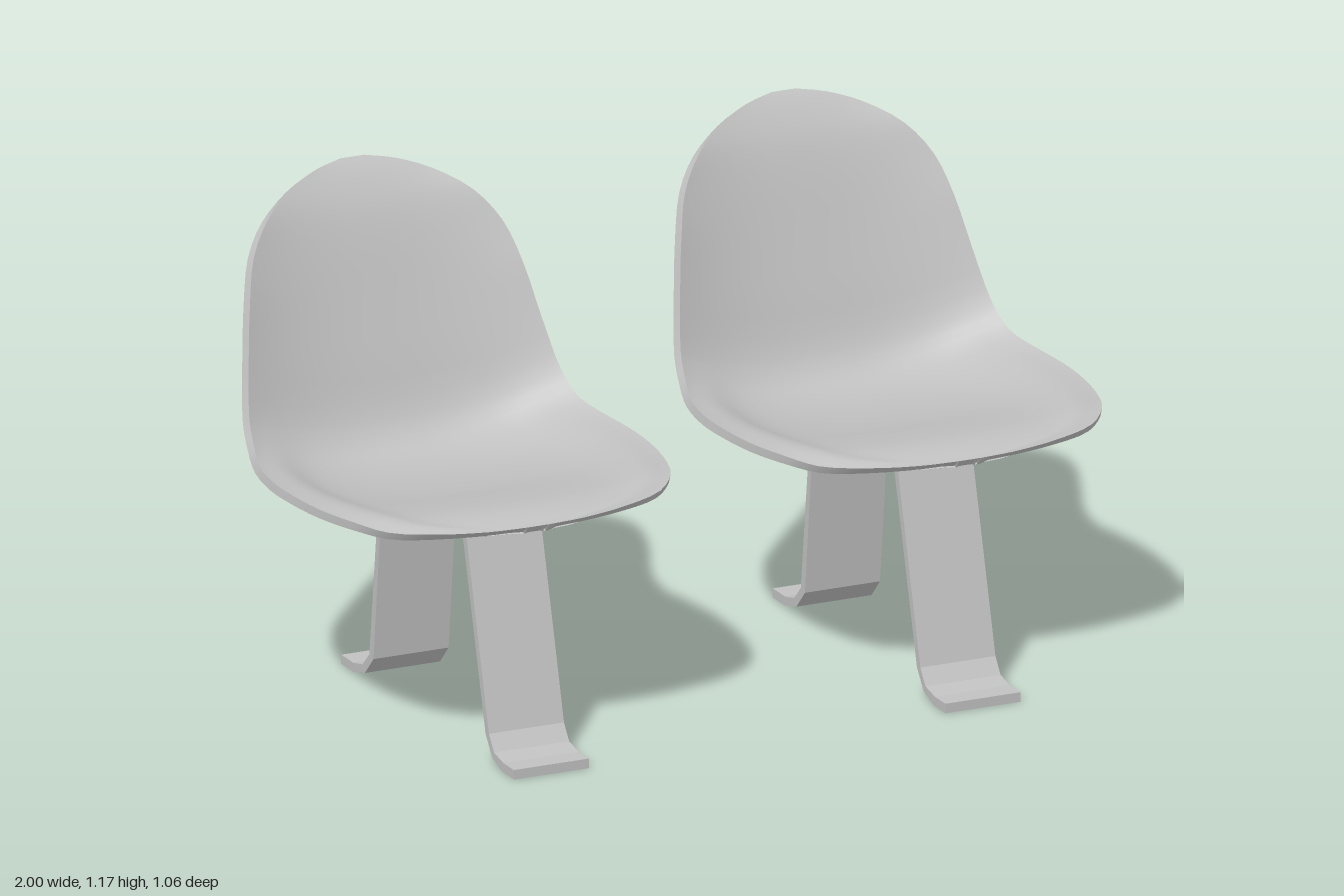
import * as THREE from 'three';

// Stations from front edge to top of back: [centre z, centre y, rim z, rim y, half width]
const STATIONS = [
  [0.455, 0.572, 0.455, 0.572, 0.03], [0.447, 0.578, 0.45, 0.573, 0.12],
  [0.425, 0.587, 0.43, 0.578, 0.24], [0.38, 0.593, 0.39, 0.585, 0.345],
  [0.32, 0.59, 0.33, 0.598, 0.4], [0.2, 0.57, 0.22, 0.6, 0.435],
  [0.08, 0.545, 0.1, 0.602, 0.45], [-0.06, 0.53, 0, 0.603, 0.45],
  [-0.16, 0.532, -0.1, 0.61, 0.435], [-0.235, 0.552, -0.18, 0.632, 0.41],
  [-0.285, 0.61, -0.235, 0.68, 0.395], [-0.33, 0.74, -0.29, 0.8, 0.37],
  [-0.375, 0.875, -0.335, 0.92, 0.345], [-0.413, 0.99, -0.378, 1.01, 0.315],
  [-0.445, 1.07, -0.42, 1.08, 0.26], [-0.478, 1.125, -0.468, 1.128, 0.18],
  [-0.502, 1.155, -0.498, 1.155, 0.1], [-0.515, 1.167, -0.515, 1.167, 0.03],
];
const ROWS = 51, COLS = 32, THICK = 0.021;

function makeGeometry(points, index) {
  const g = new THREE.BufferGeometry().setFromPoints(points);
  g.setIndex(index);
  g.computeVertexNormals();
  return g;
}

// Dished shell: upper skin, lower skin offset along the normals, and rim strip
function shellGeometries() {
  const centre = new THREE.CatmullRomCurve3(STATIONS.map(s => new THREE.Vector3(0, s[1], s[0])));
  const rim = new THREE.CatmullRomCurve3(STATIONS.map(s => new THREE.Vector3(s[4], s[3], s[2])));
  const upper = [], up = [], down = [];
  for (let i = 0; i <= ROWS; i++) {
    const c = centre.getPoint(i / ROWS), r = rim.getPoint(i / ROWS);
    const lip = 0.017 * THREE.MathUtils.clamp((r.z + 0.25) / 0.2, 0, 1) * (r.x / 0.45) ** 2;
    for (let j = 0; j <= COLS; j++) {
      const t = Math.sin((j / COLS - 0.5) * Math.PI * 0.8) / Math.sin(Math.PI * 0.4);
      const a = Math.abs(t), p = c.clone().lerp(r, a ** 2.5);
      p.x = r.x * t;
      p.y += lip * Math.exp(-(((a - 0.84) / 0.13) ** 2));
      upper.push(p);
    }
  }
  const at = (i, j) => i * (COLS + 1) + j;
  for (let i = 0; i < ROWS; i++) {
    for (let j = 0; j < COLS; j++) {
      const a = at(i, j), b = at(i, j + 1), c = at(i + 1, j + 1), d = at(i + 1, j);
      up.push(a, b, c, a, c, d);
      down.push(a, c, b, a, d, c);
    }
  }
  const top = makeGeometry(upper, up);
  const n = top.attributes.normal;
  const lower = upper.map((p, k) =>
    p.clone().addScaledVector(new THREE.Vector3().fromBufferAttribute(n, k), -THICK));

  // Walk round the border to close the edge
  const loop = [];
  for (let j = 0; j < COLS; j++) loop.push(at(0, j));
  for (let i = 0; i < ROWS; i++) loop.push(at(i, COLS));
  for (let j = COLS; j > 0; j--) loop.push(at(ROWS, j));
  for (let i = ROWS; i > 0; i--) loop.push(at(i, 0));
  const edge = [], faces = [], m = loop.length;
  loop.forEach((v, k) => {
    edge.push(upper[v], lower[v]);
    const p = 2 * k, q = 2 * ((k + 1) % m);
    faces.push(p + 1, q + 1, q, p + 1, q, p);
  });
  return { seatUpper: top, seatUnderside: makeGeometry(lower, down), seatRim: makeGeometry(edge, faces) };
}

// Bent flat bar, drawn as (z, y) and extruded sideways
function legGeometry() {
  const inner = [[0.535, 0], [0.475, 0], [0.42, 0.018], [0.385, 0.065], [0.262, 0.517],
    [-0.162, 0.46], [-0.205, 0.065], [-0.25, 0.018], [-0.31, 0.002], [-0.375, 0.002]];
  const outer = [[0.535, 0.023], [0.48, 0.023], [0.43, 0.033], [0.403, 0.07], [0.277, 0.537],
    [-0.177, 0.477], [-0.227, 0.07], [-0.262, 0.035], [-0.31, 0.024], [-0.375, 0.024]];
  const outline = [...inner, ...outer.reverse()].map(([z, y]) => new THREE.Vector2(-z, y));
  const g = new THREE.ExtrudeGeometry(new THREE.Shape(outline), { depth: 0.19, bevelEnabled: false });
  g.translate(0, 0, -0.095);
  g.rotateY(Math.PI / 2);
  return g;
}

export function createModel() {
  const grey = new THREE.MeshStandardMaterial({ color: 0xc0c0c0 });
  grey.name = 'light grey';
  const parts = { ...shellGeometries(), legFrame: legGeometry() };
  const model = new THREE.Group();
  model.name = 'pairOfChairs';
  for (const side of [-1, 1]) {
    const chair = new THREE.Group();
    chair.name = side < 0 ? 'rightChair' : 'leftChair';
    for (const [name, geometry] of Object.entries(parts)) {
      const mesh = new THREE.Mesh(geometry, grey);
      mesh.name = name;
      chair.add(mesh);
    }
    chair.position.x = side * 0.546;
    model.add(chair);
  }
  return model;
}
